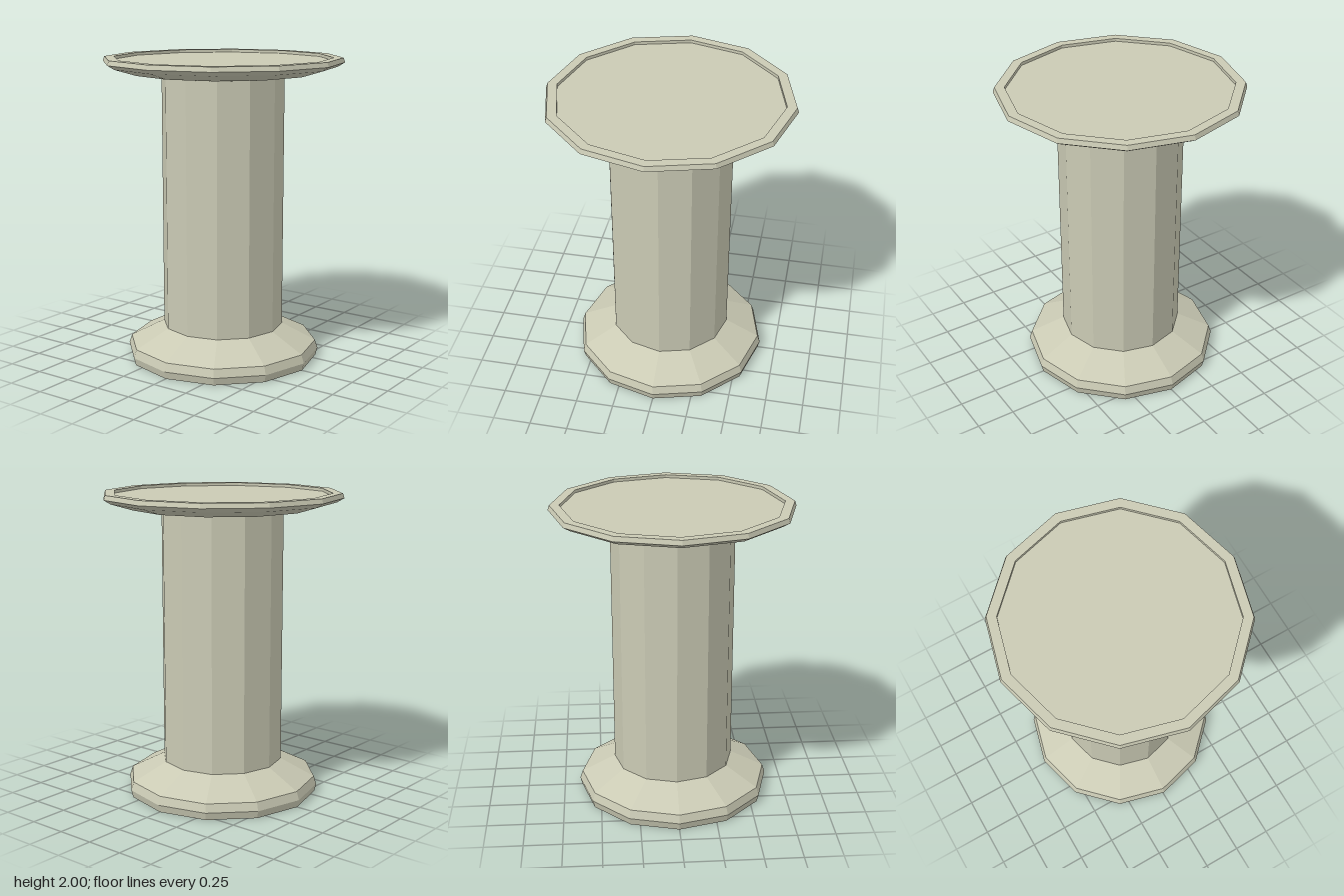
import * as THREE from 'three';

const SIDES = 12;
const material = new THREE.MeshStandardMaterial({ color: 0xcacab4, flatShading: true });

// Faceted turned part from [radius, height] pairs, listed bottom to top
function turned(name, profile) {
  const points = profile.map(([r, y]) => new THREE.Vector2(r, y));
  const geometry = new THREE.LatheGeometry(points, SIDES).toNonIndexed();
  geometry.computeVertexNormals();
  const mesh = new THREE.Mesh(geometry, material);
  mesh.name = name;
  return mesh;
}

export function createModel() {
  const group = new THREE.Group();
  group.name = 'pedestal';

  // Foot with a bevelled edge and sloping shoulder
  group.add(turned('base', [
    [0, 0], [0.63, 0], [0.643, 0.05], [0.625, 0.105], [0.4, 0.22],
  ]));

  // Straight column
  group.add(turned('column', [[0.4, 0.22], [0.4, 1.88]]));

  // Flared top with a raised rim around a shallow recess
  group.add(turned('top', [
    [0.4, 1.88], [0.595, 1.9], [0.74, 1.943], [0.785, 1.97],
    [0.775, 2], [0.713, 2], [0.713, 1.98], [0, 1.98],
  ]));

  return group;
}
